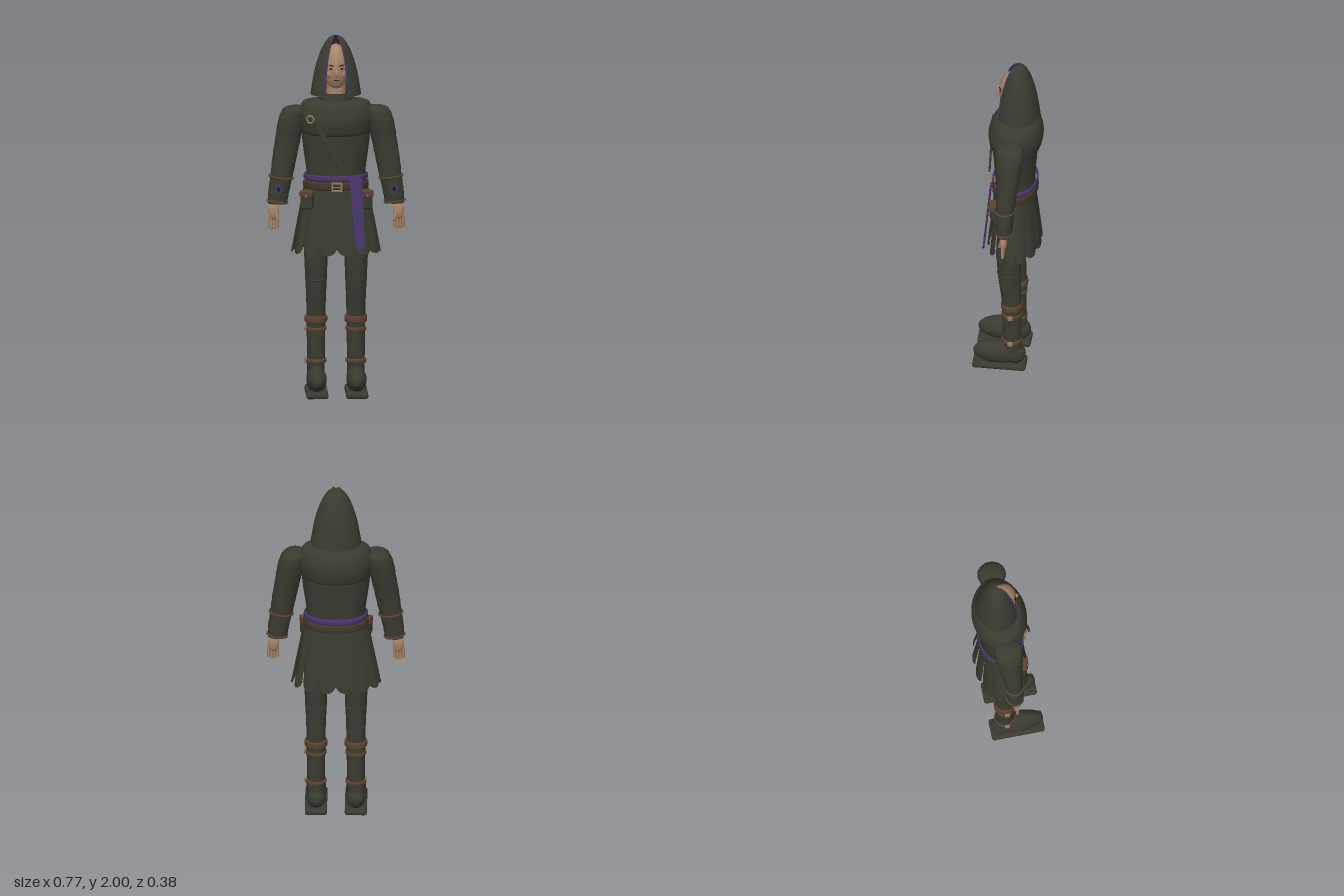
import * as THREE from 'three';
import { RoundedBoxGeometry } from 'three/addons/geometries/RoundedBoxGeometry.js';

const mat = (name, color, side = THREE.FrontSide) => {
  const m = new THREE.MeshStandardMaterial({ color, side });
  m.name = name;
  return m;
};

export function createModel() {
  const model = new THREE.Group();
  model.name = 'hoodedRanger';
  const cloth = mat('dark olive cloth', 0x3a3b30, THREE.DoubleSide);
  const skin = mat('skin', 0xa98468);
  const purple = mat('purple trim', 0x493569, THREE.DoubleSide);
  const leather = mat('brown leather', 0x5c4230);
  const darkLeather = mat('dark leather', 0x42372a);
  const brass = mat('brass', 0x94775a);
  const dark = mat('dark features', 0x241f1c);

  const add = (name, geo, material, x = 0, y = 0, z = 0, parent = model) => {
    const m = new THREE.Mesh(geo, material);
    m.name = name;
    m.position.set(x, y, z);
    parent.add(m);
    return m;
  };
  const ball = (name, material, x, y, z, rx, ry, rz) => {
    const m = add(name, new THREE.SphereGeometry(1, 28, 18), material, x, y, z);
    m.scale.set(rx, ry, rz);
    return m;
  };
  const tube = (pts, r, steps = 24) => new THREE.TubeGeometry(
    new THREE.CatmullRomCurve3(pts.map((p) => new THREE.Vector3(...p))), steps, r, 8);

  // Smooth body from horizontal ellipses [x, y, z, rx, rz], listed bottom to top
  const loft = (sections, steps = 6, seg = 36, wrinkle = 0) => {
    const centre = new THREE.CatmullRomCurve3(sections.map((s) => new THREE.Vector3(s[0], s[1], s[2])), false, 'catmullrom', 0.4);
    const size = new THREE.CatmullRomCurve3(sections.map((s) => new THREE.Vector3(s[3], s[4], 0)), false, 'catmullrom', 0.4);
    const rows = (sections.length - 1) * steps;
    const pos = [], index = [];
    for (let i = 0; i <= rows; i++) {
      const c = centre.getPoint(i / rows), r = size.getPoint(i / rows);
      for (let j = 0; j < seg; j++) {
        const a = (j / seg) * Math.PI * 2;
        const w = 1 + wrinkle * Math.sin(i * 1.7 + Math.sin(a) * 1.5);
        pos.push(c.x + r.x * w * Math.sin(a), c.y, c.z + r.y * w * Math.cos(a));
        if (i < rows) {
          const p = i * seg + j, q = i * seg + ((j + 1) % seg);
          index.push(p, q, p + seg, q, q + seg, p + seg);
        }
      }
    }
    const g = new THREE.BufferGeometry();
    g.setAttribute('position', new THREE.Float32BufferAttribute(pos, 3));
    g.setIndex(index);
    g.computeVertexNormals();
    return g;
  };
  // Rounded ring around an ellipse
  const band = (name, material, x, y0, y1, z, rx, rz) => {
    const h = y1 - y0, d = 0.008;
    return add(name, loft([[x, y0, z, rx - d, rz - d], [x, y0 + h * 0.15, z, rx, rz],
      [x, y1 - h * 0.15, z, rx, rz], [x, y1, z, rx - d, rz - d]], 3), material);
  };

  // Torso, shoulder mantle and collar
  add('torso', loft([[0, 1.12, -0.03, 0.165, 0.11], [0, 1.24, -0.03, 0.162, 0.11],
    [0, 1.36, -0.03, 0.178, 0.118], [0, 1.47, -0.03, 0.188, 0.125], [0, 1.58, -0.03, 0.17, 0.11]]), cloth);
  add('mantle', loft([[0, 1.45, -0.033, 0.172, 0.118], [0, 1.465, -0.033, 0.19, 0.14], [0, 1.54, -0.034, 0.205, 0.152],
    [0, 1.6, -0.036, 0.197, 0.138], [0, 1.635, -0.036, 0.175, 0.115], [0, 1.645, -0.036, 0.09, 0.085]]), cloth);
  add('collar', loft([[0, 1.63, -0.03, 0.088, 0.09], [0, 1.66, -0.03, 0.08, 0.083], [0, 1.685, -0.03, 0.074, 0.078]], 3), cloth);
  add('neck', new THREE.CylinderGeometry(0.052, 0.055, 0.12, 24), skin, 0, 1.68, -0.03);

  // Head and face
  ball('head', skin, 0, 1.82, -0.03, 0.068, 0.133, 0.09);
  ball('nose', skin, 0, 1.8, 0.058, 0.01, 0.024, 0.016);
  for (const s of [-1, 1]) {
    ball('eye', dark, s * 0.027, 1.827, 0.05, 0.011, 0.005, 0.006);
    const brow = add('brow', new THREE.BoxGeometry(0.028, 0.006, 0.008), dark, s * 0.027, 1.845, 0.05);
    brow.rotation.set(0, s * 0.3, s * 0.1);
    ball('cheek', skin, s * 0.035, 1.795, 0.032, 0.018, 0.022, 0.016);
  }
  add('mouth', new THREE.BoxGeometry(0.028, 0.005, 0.006), dark, 0, 1.762, 0.051);

  // Pointed hood, open at the front, with trimmed edges
  const hoodProfile = new THREE.SplineCurve([[0.14, 1.67], [0.129, 1.74], [0.113, 1.82], [0.088, 1.9], [0.06, 1.957], [0.03, 1.99], [0.001, 2]]
    .map((p) => new THREE.Vector2(...p))).getPoints(28);
  const gap = 0.5;
  const hood = add('hood', new THREE.LatheGeometry(hoodProfile, 44, gap, Math.PI * 2 - gap * 2), cloth, 0, 0, -0.048);
  hood.scale.z = 0.85;
  for (const s of [-1, 1]) {
    add('hoodTrim', tube(hoodProfile.filter((p, i) => i % 3 === 0 && p.x > 0.012).map((p) =>
      [s * p.x * Math.sin(gap), p.y, -0.048 + 0.85 * p.x * Math.cos(gap)]), 0.005), purple);
  }

  // Pleated skirt of overlapping scalloped panels
  const panels = 14;
  for (let i = 0; i < panels; i++) {
    const mid = ((i + 0.5) / panels) * Math.PI * 2;
    const place = (u, v, inset = 0) => {
      const a = mid + u * (Math.PI / panels) * 1.06;
      const out = v * (0.014 * (1 - u * u) + 0.007 * u) - inset;
      return [(0.172 + 0.062 * v + out) * Math.sin(a), 1.19 - v * (0.4 - 0.045 * Math.pow(Math.abs(u), 3)),
        -0.028 + (0.108 + 0.028 * v + out) * Math.cos(a)];
    };
    const g = new THREE.PlaneGeometry(2, 1, 12, 10);
    const p = g.attributes.position;
    for (let k = 0; k < p.count; k++) p.setXYZ(k, ...place(p.getX(k), 0.5 - p.getY(k)));
    g.computeVertexNormals();
    add('skirtPanel', g, cloth);
    add('skirtHem', tube([-1, -0.6, 0, 0.6, 1].map((u) => place(u, 0.992, 0.004)), 0.003, 12), darkLeather);
  }

  // Waist: cloth sash, belt, buckle, pouches and hanging end
  band('waistSash', purple, 0, 1.2, 1.232, -0.03, 0.177, 0.126);
  band('belt', darkLeather, 0, 1.15, 1.195, -0.03, 0.18, 0.127);
  const frame = new THREE.Shape([[-0.03, -0.025], [0.03, -0.025], [0.03, 0.025], [-0.03, 0.025]].map((p) => new THREE.Vector2(...p)));
  frame.holes.push(new THREE.Path([[-0.02, -0.016], [-0.02, 0.016], [0.02, 0.016], [0.02, -0.016]].map((p) => new THREE.Vector2(...p))));
  add('beltBuckle', new THREE.ExtrudeGeometry(frame, { depth: 0.012, bevelEnabled: false }), brass, 0, 1.173, 0.096);
  add('bucklePin', new THREE.BoxGeometry(0.04, 0.005, 0.006), brass, 0, 1.173, 0.103);
  const sash = new THREE.Shape([[-0.035, 0], [0.035, 0], [0.048, -0.39], [0.02, -0.425], [-0.006, -0.36]].map((p) => new THREE.Vector2(...p)));
  const sashEnd = add('sashEnd', new THREE.ExtrudeGeometry(sash, { depth: 0.008, bevelEnabled: false }), purple, 0.105, 1.225, 0.089);
  sashEnd.rotation.x = -0.09;
  for (const s of [-1, 1]) {
    const pouch = new THREE.Group();
    pouch.name = 'pouch';
    pouch.position.set(s * 0.162, 1.095, 0.065);
    pouch.rotation.y = s * 0.3;
    model.add(pouch);
    add('pouchBody', new RoundedBoxGeometry(0.068, 0.1, 0.05, 3, 0.012), cloth, 0, 0, 0, pouch);
    add('pouchFlap', new RoundedBoxGeometry(0.074, 0.036, 0.056, 3, 0.008), leather, 0, 0.038, 0, pouch);
    add('pouchStud', new THREE.SphereGeometry(0.006, 10, 8), brass, 0, 0.026, 0.028, pouch);
  }

  // Chest strap and ring brooch
  const strap = add('chestStrap', new RoundedBoxGeometry(0.028, 0.32, 0.01, 2, 0.004), cloth, -0.045, 1.405, 0.11);
  strap.rotation.z = 0.49;
  const brooch = add('brooch', new THREE.TorusGeometry(0.02, 0.005, 10, 24), brass, -0.145, 1.55, 0.082);
  brooch.rotation.y = -0.45;

  for (const s of [-1, 1]) {
    // Sleeve with cuff bands and diamond badge
    add('sleeve', loft([[s * 0.322, 1.065, -0.01, 0.052, 0.043], [s * 0.316, 1.13, -0.01, 0.058, 0.047],
      [s * 0.3, 1.22, -0.012, 0.062, 0.052], [s * 0.284, 1.32, -0.018, 0.067, 0.057], [s * 0.264, 1.43, -0.025, 0.07, 0.066],
      [s * 0.244, 1.53, -0.028, 0.074, 0.078], [s * 0.226, 1.595, -0.03, 0.062, 0.07], [s * 0.215, 1.613, -0.03, 0.004, 0.004]], 6, 32, 0.012), cloth);
    const tilt = s * 0.12;
    for (const [x, y, r] of [[0.323, 1.075, 0.055], [0.302, 1.212, 0.064]]) {
      const ring = add('cuffBand', new THREE.TorusGeometry(r, 0.006, 10, 32), leather, s * x, y, -0.011);
      ring.rotation.set(Math.PI / 2, tilt, 0);
      ring.scale.y = 0.84;
    }
    const diamond = (w, h) => new THREE.ExtrudeGeometry(new THREE.Shape([[0, -h], [w, 0], [0, h], [-w, 0]]
      .map((p) => new THREE.Vector2(...p))), { depth: 0.004, bevelEnabled: false });
    add('cuffBadge', diamond(0.024, 0.038), purple, s * 0.318, 1.15, 0.037);
    add('cuffBadgeInset', diamond(0.012, 0.02), dark, s * 0.318, 1.15, 0.039);

    // Hand with fingers and thumb
    ball('palm', skin, s * 0.344, 1.022, -0.008, 0.031, 0.052, 0.02);
    for (let f = 0; f < 4; f++) {
      const x = 0.322 + f * 0.0165, tip = 0.922 + (f === 0 || f === 3 ? 0.008 : 0);
      add('finger', new THREE.CapsuleGeometry(0.0075, 1.0 - tip - 0.015, 4, 10), skin, s * x, (1.0 + tip) / 2, -0.006);
    }
    const thumb = add('thumb', new THREE.CapsuleGeometry(0.008, 0.045, 4, 10), skin, s * 0.325, 0.995, 0.012);
    thumb.rotation.set(-0.2, 0, -s * 0.2);

    // Leg
    const x = s * 0.11;
    add('leg', loft([[x, 0.06, -0.04, 0.047, 0.048], [x, 0.2, -0.026, 0.049, 0.051], [x, 0.4, -0.026, 0.052, 0.053],
      [x, 0.52, -0.018, 0.054, 0.058], [x, 0.64, -0.01, 0.059, 0.064], [x, 0.8, -0.01, 0.066, 0.07], [s * 0.1, 1.0, -0.02, 0.07, 0.075]]), cloth);
    band('kneeSeam', cloth, x, 0.633, 0.647, -0.01, 0.061, 0.066);

    // Gaiter bands with side buckles
    band('gaiterTop', leather, x, 0.395, 0.437, -0.026, 0.062, 0.06);
    for (const y of [0.36, 0.182]) {
      band('gaiterStrap', leather, x, y - 0.012, y + 0.012, -0.026, 0.057, 0.057);
      add('gaiterBuckle', new RoundedBoxGeometry(0.012, 0.026, 0.028, 2, 0.003), brass, x + s * 0.056, y, -0.022);
    }

    // Shoe and flat sole
    ball('shoe', cloth, x, 0.088, 0.052, 0.056, 0.07, 0.138);
    ball('heel', cloth, x, 0.085, -0.04, 0.052, 0.062, 0.062);
    add('sole', new RoundedBoxGeometry(0.122, 0.034, 0.296, 4, 0.014), cloth, x, 0.017, 0.042);
  }
  return model;
}
